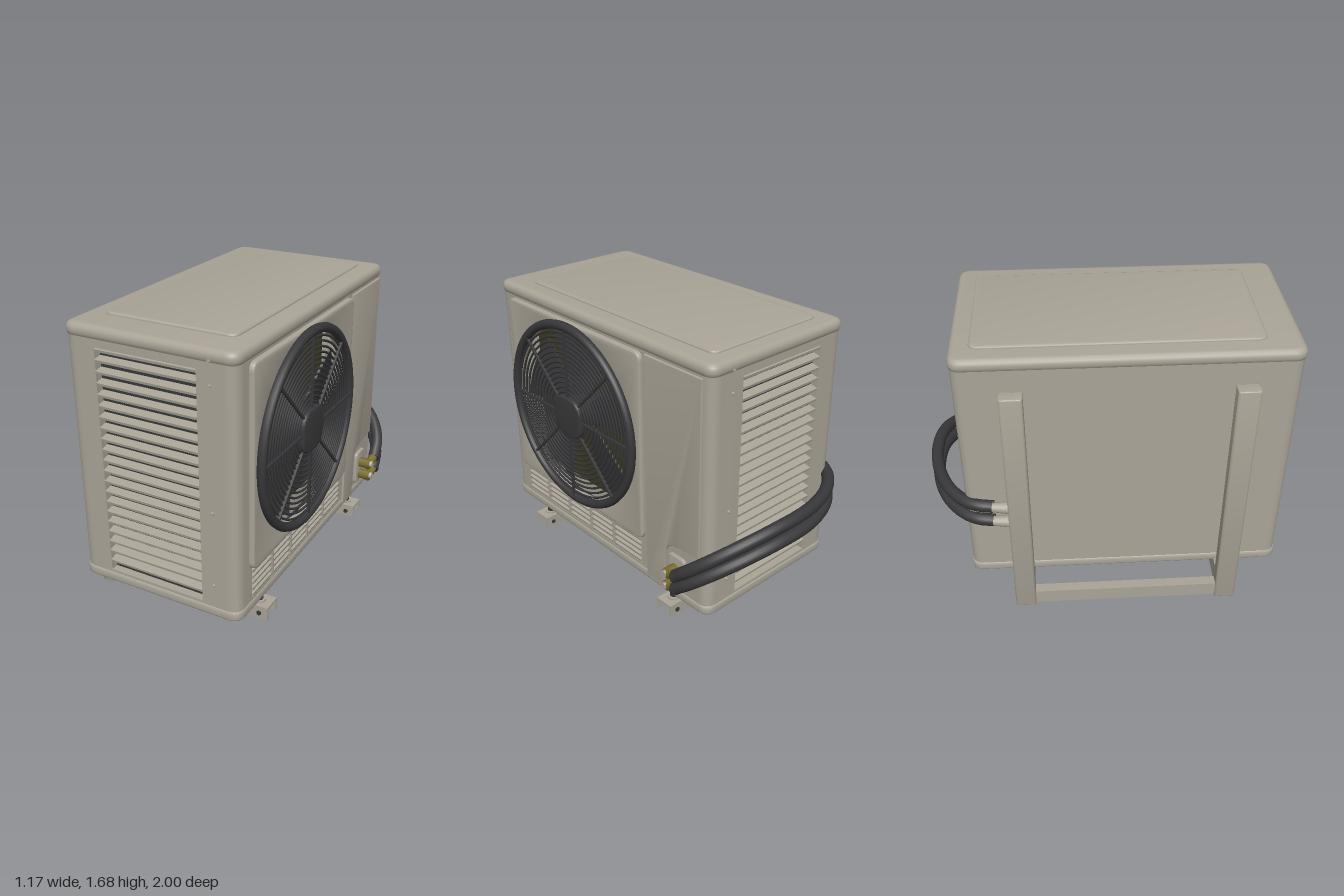
import * as THREE from 'three';
import { toCreasedNormals } from 'three/addons/utils/BufferGeometryUtils.js';

const casing = new THREE.MeshStandardMaterial({ color: 0xaaa497 });
casing.name = 'warm grey casing';
const dark = new THREE.MeshStandardMaterial({ color: 0x38383a, side: THREE.DoubleSide });
dark.name = 'charcoal plastic';
const olive = new THREE.MeshStandardMaterial({ color: 0x3d3b1e });
olive.name = 'dark olive interior';
const brass = new THREE.MeshStandardMaterial({ color: 0x7a7030 });
brass.name = 'dull brass';

// casing limits and louvre opening
const X0 = -0.49, X1 = 0.47, Z0 = -0.775, Z1 = 0.99, LX0 = -0.31, LX1 = 0.26;
const FAN_Y = 1.045, FAN_Z = 0.3;

export function createModel() {
  const root = new THREE.Group();
  root.name = 'outdoorUnit';

  const add = (name, geo, mat, x = 0, y = 0, z = 0, parent = root) => {
    const m = new THREE.Mesh(geo, mat);
    m.name = name;
    m.position.set(x, y, z);
    parent.add(m);
    return m;
  };
  // box given by its limits
  const box = (name, mat, x0, x1, y0, y1, z0, z1) =>
    add(name, new THREE.BoxGeometry(x1 - x0, y1 - y0, z1 - z0), mat, (x0 + x1) / 2, (y0 + y1) / 2, (z0 + z1) / 2);
  // cylinder between two points
  const rod = (name, mat, a, b, r0, r1 = r0, sides = 16) => {
    const p = new THREE.Vector3(...a), q = new THREE.Vector3(...b);
    const m = add(name, new THREE.CylinderGeometry(r1, r0, p.distanceTo(q), sides), mat);
    m.position.copy(p).add(q).multiplyScalar(0.5);
    m.quaternion.setFromUnitVectors(new THREE.Vector3(0, 1, 0), q.sub(p).normalize());
    return m;
  };
  const extrude = (shape, depth, bevel) => {
    const g = new THREE.ExtrudeGeometry(shape, {
      depth: depth - 2 * bevel, bevelEnabled: bevel > 0, bevelSize: bevel, bevelThickness: bevel,
      bevelOffset: -bevel, bevelSegments: 3, curveSegments: 32,
    });
    return toCreasedNormals(g.translate(0, 0, bevel), 0.6);
  };
  const roundRect = (a0, a1, b0, b1, r) => {
    const s = new THREE.Shape();
    s.moveTo(a0 + r, b0);
    s.lineTo(a1 - r, b0); s.quadraticCurveTo(a1, b0, a1, b0 + r);
    s.lineTo(a1, b1 - r); s.quadraticCurveTo(a1, b1, a1 - r, b1);
    s.lineTo(a0 + r, b1); s.quadraticCurveTo(a0, b1, a0, b1 - r);
    s.lineTo(a0, b0 + r); s.quadraticCurveTo(a0, b0, a0 + r, b0);
    return s;
  };
  // plan shapes use (x, -z) and rise in y; side shapes use (-z, y) and grow towards +x
  const upright = (name, shape, y0, y1, bevel = 0) =>
    add(name, extrude(shape, y1 - y0, bevel).rotateX(-Math.PI / 2), casing, 0, y0, 0);
  const sidePlate = (name, shape, x0, x1, bevel = 0) =>
    add(name, extrude(shape, x1 - x0, bevel).rotateY(Math.PI / 2), casing, x0, 0, 0);
  const plan = (g, r = 0.07) => roundRect(X0 - g, X1 + g, -Z1 - g, -Z0 + g, r);

  // casing walls, with recesses for both louvres and the fan
  const s = new THREE.Shape(), r = 0.07, d = 0.05, fx = X1 - 0.15;
  const line = (...pts) => pts.forEach(([x, z]) => s.lineTo(x, -z));
  const corner = (cx, cz, x, z) => s.quadraticCurveTo(cx, -cz, x, -z);
  s.moveTo(X0, -Z0 - r);
  corner(X0, Z0, X0 + r, Z0);
  line([LX0, Z0], [LX0, Z0 + d], [LX1, Z0 + d], [LX1, Z0], [X1 - r, Z0]);
  corner(X1, Z0, X1, Z0 + r);
  line([X1, -0.25], [fx, -0.25], [fx, 0.85], [X1, 0.85], [X1, Z1 - r]);
  corner(X1, Z1, X1 - r, Z1);
  line([LX1, Z1], [LX1, Z1 - d], [LX0, Z1 - d], [LX0, Z1], [X0 + r, Z1]);
  corner(X0, Z1, X0, Z1 - r);
  s.closePath();
  upright('casingWalls', s, 0.3, 1.575);
  upright('upperBand', plan(0), 1.57, 1.64);
  upright('topCap', plan(0.006), 1.6, 1.675, 0.03);
  upright('topPanel', roundRect(-0.385, 0.365, -0.81, 0.68, 0.05), 1.66, 1.688, 0.01);
  upright('lowerBand', plan(0), 0.265, 0.305);
  upright('baseTray', plan(0.006), 0.235, 0.29, 0.012);

  // louvres on the front and back
  for (const [side, zf] of [[1, Z1], [-1, Z0]]) {
    const zi = zf - side * 0.046;
    box('louvreBacking', dark, LX0, LX1, 0.3, 1.572, zi - 0.003, zi + 0.003);
    for (let i = 0; i < 21; i++) {
      const slat = add('louvreSlat', new THREE.BoxGeometry(LX1 - LX0, 0.014, 0.05), casing,
        (LX0 + LX1) / 2, 0.368 + i * 0.06 - 0.06 * (i === 20 ? 0.1 : 0), zf - side * 0.022);
      slat.rotation.x = side * 0.2;
    }
    // small casing screws
    for (const y of [0.42, 0.84, 1.5, 1.62])
      rod('screw', casing, [0.33, y, zf - side * 0.01], [0.33, y, zf + side * 0.01], 0.012, 0.008, 8);
  }

  // raised fan panel with its round opening
  const panel = roundRect(-0.88, 0.29, 0.49, 1.6, 0.05);
  const hole = new THREE.Path();
  hole.absarc(-FAN_Z, FAN_Y, 0.515, 0, Math.PI * 2, true);
  panel.holes.push(hole);
  sidePlate('fanPanel', panel, 0.455, 0.497, 0.012);
  box('fanChamberBack', olive, fx, fx + 0.008, 0.49, 1.572, -0.248, 0.848);

  // fan blades and guard, facing +x
  const fan = new THREE.Group();
  fan.name = 'fan';
  fan.position.set(0, FAN_Y, FAN_Z);
  fan.rotation.y = Math.PI / 2;
  root.add(fan);
  for (let i = 0; i < 5; i++) {
    const blade = new THREE.Shape();
    blade.absarc(0, 0, 0.49, -0.42, 0.42, false);
    blade.absarc(0, 0, 0.1, 0.5, -0.5, true);
    const pivot = new THREE.Group();
    pivot.name = 'bladePivot';
    pivot.rotation.z = i * Math.PI * 0.4 + 0.3;
    fan.add(pivot);
    add('fanBlade', extrude(blade, 0.012, 0), dark, 0, 0, 0.41, pivot).rotation.x = 0.2;
  }
  add('guardRim', new THREE.TorusGeometry(0.533, 0.026, 10, 72), dark, 0, 0, 0.512, fan);
  for (let i = 0; i < 13; i++)
    add('guardRing', new THREE.TorusGeometry(0.145 + i * 0.029, 0.0065, 6, 64), dark, 0, 0, 0.515, fan);
  for (let i = 0; i < 8; i++) {
    const a = i * Math.PI / 4;
    add('guardSpoke', new THREE.BoxGeometry(0.43, 0.013, 0.016), dark,
      0.32 * Math.cos(a), 0.32 * Math.sin(a), 0.522, fan).rotation.z = a;
  }
  add('guardHub', extrude(roundRect(-0.123, 0.123, -0.123, 0.123, 0.1), 0.04, 0.012), dark, 0, 0, 0.502, fan);
  add('fanMotor', new THREE.CylinderGeometry(0.11, 0.11, 0.16, 32).rotateX(Math.PI / 2), dark, 0, 0, 0.41, fan);

  // lower grille below the fan
  box('grilleBacking', dark, 0.42, 0.43, 0.3, 0.5, -0.248, 0.848);
  for (let i = 0; i < 5; i++) {
    const slat = box('grilleSlat', casing, 0.43, 0.476, 0.318 + i * 0.036, 0.334 + i * 0.036, -0.25, 0.85);
    slat.rotation.z = -0.2;
  }
  for (let i = 0; i < 4; i++) {
    const z = -0.01 + i * 0.215;
    box('grilleDivider', casing, 0.43, 0.48, 0.3, 0.495, z - 0.008, z + 0.008);
  }

  // service panel with a cut-out around the valves
  const sp = new THREE.Shape();
  sp.moveTo(0.31, 0.27);
  sp.lineTo(0.45, 0.27);
  sp.lineTo(0.465, 0.5);
  sp.quadraticCurveTo(0.475, 0.57, 0.55, 0.575);
  sp.lineTo(0.72, 0.59);
  sp.lineTo(0.72, 1.6);
  sp.lineTo(0.31, 1.6);
  sp.closePath();
  sidePlate('servicePanel', sp, 0.46, 0.483, 0.006);
  sidePlate('valvePlate', roundRect(0.49, 0.62, 0.31, 0.52, 0.03), 0.465, 0.49, 0.005);

  // valves and the pair of insulated hoses running round the back
  for (const [y0, y1] of [[0.465, 0.76], [0.385, 0.66]]) {
    rod('valveStem', brass, [0.47, y0 - 0.02, -0.55], [0.56, y0 - 0.02, -0.55], 0.03, 0.03, 6);
    rod('valveCap', casing, [0.55, y0 - 0.02, -0.55], [0.575, y0 - 0.02, -0.55], 0.026, 0.02, 8);
    rod('valveNut', brass, [0.545, y0 - 0.035, -0.53], [0.555, y0 + 0.01, -0.63], 0.024, 0.03, 6);
    const pts = [];
    for (let i = 0; i <= 12; i++) {
      const t = i / 12 * Math.PI;
      pts.push(new THREE.Vector3(0.015 + 0.54 * Math.cos(t),
        y0 + (y1 - y0) * Math.sin(Math.min(t, Math.PI / 2)), -0.62 - 0.345 * Math.sin(t)));
    }
    add('hose', new THREE.TubeGeometry(new THREE.CatmullRomCurve3(pts), 64, 0.035, 14), dark);
    rod('hoseEnd', dark, [0.555, y0 - 0.004, -0.615], [0.555, y0 + 0.004, -0.63], 0.035);
    rod('hoseFitting', casing, [-0.53, y1, -0.64], [-0.54, y1, -0.53], 0.025, 0.035);
  }

  // wall bracket: two rails, tapered channel arms and mounting feet
  for (const zc of [0.7, -0.48]) {
    upright('wallRail', roundRect(-0.58, -0.505, -zc - 0.06, -zc + 0.06, 0.015), 0.005, 1.5, 0.006);
    const web = new THREE.Shape([[-0.51, 0.06], [0.51, 0.11], [0.51, 0.18], [-0.51, 0.18]]
      .map(p => new THREE.Vector2(...p)));
    for (const dz of [-0.055, 0.043])
      add('armWeb', extrude(web, 0.012, 0), casing, 0, 0, zc + dz);
    box('armTop', casing, -0.51, 0.51, 0.168, 0.182, zc - 0.055, zc + 0.055);
    const foot = new THREE.Shape([[-0.39, 0.182], [0.37, 0.182], [0.37, 0.192], [0.29, 0.24], [-0.31, 0.24], [-0.39, 0.192]]
      .map(p => new THREE.Vector2(...p)));
    add('mountingFoot', extrude(foot, 0.09, 0), casing, 0, 0, zc - 0.045);
    for (const x of [-0.445, 0.435]) {
      rod('footWasher', casing, [x, 0.18, zc], [x, 0.192, zc], 0.035);
      rod('footBolt', dark, [x, 0.19, zc], [x, 0.215, zc], 0.022, 0.02, 6);
    }
    rod('armBolt', dark, [0.46, 0.14, zc - 0.062], [0.46, 0.14, zc + 0.062], 0.014, 0.014, 6);
  }
  box('crossBar', casing, -0.57, -0.512, 0.02, 0.11, -0.43, 0.65);
  return root;
}
